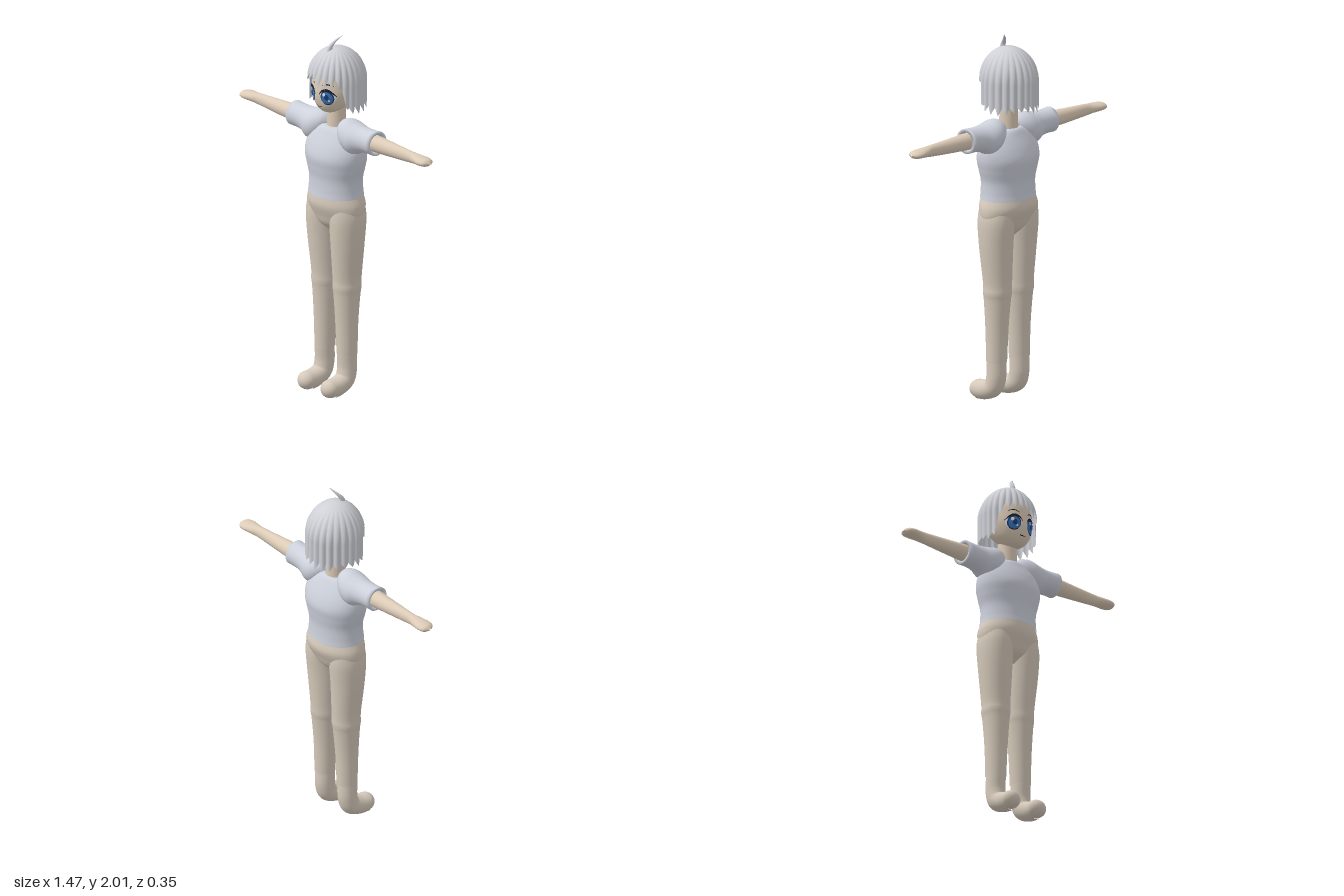
import * as THREE from 'three';

const mat = (name, color, side = THREE.FrontSide) => {
  const m = new THREE.MeshStandardMaterial({ color, side });
  m.name = name;
  return m;
};

// Closed-around grid surface: fn(v, angle) -> [x, y, z], v running upwards
function surface(rows, cols, fn) {
  const pos = [], idx = [];
  for (let i = 0; i <= rows; i++) {
    for (let j = 0; j < cols; j++) {
      pos.push(...fn(i / rows, (j / cols) * Math.PI * 2));
      if (i === rows) continue;
      const a = i * cols + j, b = i * cols + ((j + 1) % cols);
      idx.push(a, b, b + cols, a, b + cols, a + cols);
    }
  }
  const g = new THREE.BufferGeometry();
  g.setAttribute('position', new THREE.Float32BufferAttribute(pos, 3));
  g.setIndex(idx);
  g.computeVertexNormals();
  return g;
}

// Smooth sampler over cross-sections [y, rx, rz, cx, cz]
function sections(rows) {
  const spline = (f) => new THREE.CatmullRomCurve3(rows.map(f), false, 'catmullrom', 0.5);
  const size = spline((r) => new THREE.Vector3(r[0], r[1], r[2]));
  const mid = spline((r) => new THREE.Vector3(r[3] || 0, r[4] || 0, 0));
  return (t) => {
    const s = size.getPoint(t), c = mid.getPoint(t);
    return { y: s.x, rx: Math.max(s.y, 0.001), rz: Math.max(s.z, 0.001), cx: c.x, cz: c.y };
  };
}

function loft(rows, cols = 40) {
  const at = sections(rows);
  return surface(rows.length * 7, cols, (v, a) => {
    const s = at(v);
    return [s.cx + s.rx * Math.sin(a), s.y, s.cz + s.rz * Math.cos(a)];
  });
}

function mirrored(geo) {
  const g = geo.clone().scale(-1, 1, 1), ix = g.index;
  for (let i = 0; i < ix.count; i += 3) {
    const k = ix.getX(i);
    ix.setX(i, ix.getX(i + 1));
    ix.setX(i + 1, k);
  }
  return g;
}

const HEAD = [
  [1.575, 0.002, 0.002, 0, 0.05], [1.585, 0.045, 0.042, 0, 0.045], [1.62, 0.088, 0.085, 0, 0.03],
  [1.68, 0.118, 0.12, 0, 0.01], [1.74, 0.125, 0.124, 0, 0.002], [1.8, 0.118, 0.114],
  [1.85, 0.085, 0.085], [1.88, 0.002, 0.002],
];
const headAt = sections(HEAD);

// Depth of the face surface at (x, y)
function faceZ(x, y) {
  let lo = 0, hi = 1;
  for (let i = 0; i < 24; i++) {
    const m = (lo + hi) / 2;
    if (headAt(m).y < y) lo = m; else hi = m;
  }
  const s = headAt(lo);
  return s.cz + s.rz * Math.sqrt(Math.max(0, 1 - (x / s.rx) ** 2));
}

// Thin oval lying on the face
function oval(x, y, rx, ry, lift) {
  const g = new THREE.RingGeometry(0.001, 1, 32, 5).scale(rx, ry, 1).translate(x, y, 0);
  const p = g.attributes.position;
  for (let i = 0; i < p.count; i++) p.setZ(i, faceZ(p.getX(i), p.getY(i)) + lift);
  g.computeVertexNormals();
  return g;
}

// Tapered brush stroke lying on the face, drawn left to right
function stroke(points, width, lift) {
  const n = 16, pos = [], idx = [];
  new THREE.SplineCurve(points.map((p) => new THREE.Vector2(...p))).getPoints(n).forEach((p, i) => {
    const w = width * (0.25 + 0.75 * Math.sin((i / n) * Math.PI)) / 2;
    for (const y of [p.y - w, p.y + w]) pos.push(p.x, y, faceZ(p.x, y) + lift);
    if (i < n) idx.push(2 * i, 2 * i + 2, 2 * i + 3, 2 * i, 2 * i + 3, 2 * i + 1);
  });
  const g = new THREE.BufferGeometry();
  g.setAttribute('position', new THREE.Float32BufferAttribute(pos, 3));
  g.setIndex(idx);
  g.computeVertexNormals();
  return g;
}

// Fluted hair cap with a pointed hem: short fringe in front, long sides and back
function hairCap() {
  const lobes = 24;
  return surface(36, lobes * 10, (v, a) => {
    const u = 1 - v, k = (a / (Math.PI * 2)) * lobes, lobe = Math.floor(k);
    const ridge = 1 - Math.abs(2 * (k - lobe) - 1);
    const vary = 0.5 + 0.5 * Math.sin(lobe * 7.3 + 1);
    const front = Math.abs(a > Math.PI ? a - Math.PI * 2 : a);
    const f = THREE.MathUtils.smoothstep(front, 0.85, 1.3);
    const tip = THREE.MathUtils.lerp(0.045 + 0.025 * vary, 0.022 + 0.025 * vary, f);
    const hem = THREE.MathUtils.lerp(1.8, 1.628, f) - tip * ridge;
    const y = 1.93 - (1.93 - hem) * (1 - Math.cos((u * Math.PI) / 2));
    const dome = y > 1.75 ? Math.sqrt(Math.max(0, 1 - ((y - 1.75) / 0.18) ** 2)) : 1;
    const flute = 1 + (0.07 * Math.sin((ridge * Math.PI) / 2) - 0.035) * Math.min(1, u * 1.4);
    const r = Math.max(dome * flute, 0.002);
    return [0.151 * r * Math.sin(a), y, (Math.cos(a) > 0 ? 0.146 : 0.166) * r * Math.cos(a)];
  });
}

export function createModel() {
  const model = new THREE.Group();
  model.name = 'figure';
  const skin = mat('skin', 0xdccbb7);
  const trousers = mat('trousers', 0xd5c9ba);
  const shirt = mat('shirt', 0xcdd1db, THREE.DoubleSide);
  const hair = mat('hair', 0xcfd0d6, THREE.DoubleSide);
  const dark = mat('dark line', 0x1c1c26);
  const blue = mat('iris blue', 0x3a73b8);
  const navy = mat('iris rim', 0x1d3a6b);
  const white = mat('eye white', 0xf2f4f8);

  const add = (name, geo, material) => {
    const m = new THREE.Mesh(geo, material);
    m.name = name;
    model.add(m);
  };
  const pair = (name, geo, material) => {
    add(name + 'Left', geo, material);
    add(name + 'Right', mirrored(geo), material);
  };
  const sideways = (geo) => geo.rotateZ(-Math.PI / 2);

  // Head and neck
  add('head', loft(HEAD, 48), skin);
  add('neck', new THREE.CylinderGeometry(0.048, 0.052, 0.2, 32).translate(0, 1.54, -0.005), skin);

  // Hair
  add('hair', hairCap(), hair);
  add('hairTuft', loft([
    [1.91, 0.012, 0.018, -0.004, 0.045], [1.94, 0.012, 0.014, -0.002, 0.036],
    [1.97, 0.009, 0.009, 0.012, 0.014], [2, 0.001, 0.001, 0.04, -0.01],
  ], 12), hair);

  // Eyes, brows and mouth
  pair('eyeWhite', oval(0.056, 1.684, 0.039, 0.036, 0.002), white);
  pair('irisRim', oval(0.055, 1.684, 0.033, 0.04, 0.003), navy);
  pair('iris', oval(0.055, 1.681, 0.028, 0.034, 0.004), blue);
  pair('pupil', oval(0.055, 1.685, 0.011, 0.016, 0.005), navy);
  for (const s of [-1, 1]) {
    add('eyeGlint', oval(s * 0.055 - 0.012, 1.7, 0.008, 0.01, 0.006), white);
    add('eyeGlintSmall', oval(s * 0.055 + 0.012, 1.666, 0.005, 0.006, 0.006), white);
  }
  pair('upperLash', stroke([[0.014, 1.695], [0.03, 1.717], [0.056, 1.726], [0.08, 1.716], [0.1, 1.692]], 0.014, 0.006), dark);
  pair('lowerLash', stroke([[0.035, 1.649], [0.056, 1.643], [0.078, 1.651]], 0.004, 0.005), dark);
  pair('brow', stroke([[0.026, 1.745], [0.055, 1.757], [0.086, 1.749]], 0.006, 0.004), dark);
  add('mouth', stroke([[-0.02, 1.624], [-0.008, 1.619], [0, 1.621], [0.008, 1.619], [0.02, 1.624]], 0.005, 0.003), dark);

  // Shirt body, shoulders with sleeves, thick cuffs
  add('shirtBody', loft([
    [1.11, 0.165, 0.132], [1.15, 0.161, 0.128], [1.21, 0.162, 0.127], [1.27, 0.178, 0.135],
    [1.33, 0.19, 0.141], [1.39, 0.184, 0.122], [1.45, 0.15, 0.09], [1.485, 0.09, 0.068], [1.49, 0.045, 0.045],
  ], 56), shirt);
  pair('sleeve', sideways(loft([
    [0.04, 0.012, 0.015, -1.495], [0.07, 0.055, 0.058, -1.485], [0.115, 0.086, 0.084, -1.464],
    [0.165, 0.087, 0.087, -1.452], [0.21, 0.072, 0.073, -1.46], [0.26, 0.066, 0.066, -1.465],
    [0.32, 0.068, 0.066, -1.467],
  ])), shirt);
  const cuff = [[0.066, 0.3], [0.068, 0.32], [0.05, 0.32], [0.049, 0.27]].map((p) => new THREE.Vector2(...p));
  pair('cuff', sideways(new THREE.LatheGeometry(cuff, 40)).translate(0, 1.467, 0), shirt);

  // Arms ending in flat mitten hands
  pair('arm', sideways(loft([
    [0.25, 0.046, 0.046, -1.466], [0.33, 0.045, 0.045, -1.466], [0.45, 0.039, 0.036, -1.466],
    [0.58, 0.032, 0.027, -1.467], [0.63, 0.027, 0.035, -1.468], [0.68, 0.023, 0.044, -1.468],
    [0.715, 0.018, 0.036, -1.467], [0.735, 0.002, 0.004, -1.467],
  ], 32)), skin);

  // Trousers: hips and two legs
  add('hips', loft([
    [0.9, 0.02, 0.04], [0.95, 0.12, 0.088], [1, 0.174, 0.11, 0, -0.002],
    [1.06, 0.181, 0.13, 0, -0.003], [1.12, 0.161, 0.123],
  ], 56), trousers);
  pair('leg', loft([
    [0.22, 0.055, 0.056, 0.086, 0], [0.4, 0.061, 0.062, 0.084, 0], [0.55, 0.07, 0.073, 0.083, -0.002],
    [0.6, 0.076, 0.079, 0.083, -0.003], [0.66, 0.076, 0.08, 0.083, -0.003], [0.85, 0.088, 0.094, 0.09, 0],
    [0.98, 0.093, 0.104, 0.091, -0.001], [1.06, 0.084, 0.1, 0.088, -0.002],
  ]), trousers);

  // Soft boots
  const foot = new THREE.CatmullRomCurve3([
    [0.087, 0.225, 0.002], [0.088, 0.13, 0.002], [0.089, 0.078, 0.02], [0.09, 0.052, 0.075], [0.09, 0.046, 0.125],
  ].map((p) => new THREE.Vector3(...p)));
  pair('boot', new THREE.TubeGeometry(foot, 40, 0.053, 32), trousers);
  pair('toe', new THREE.SphereGeometry(0.053, 32, 20).scale(1, 0.93, 0.95).translate(0.09, 0.049, 0.125), trousers);

  // Stand on the ground
  model.position.y = 0.004;
  return model;
}
